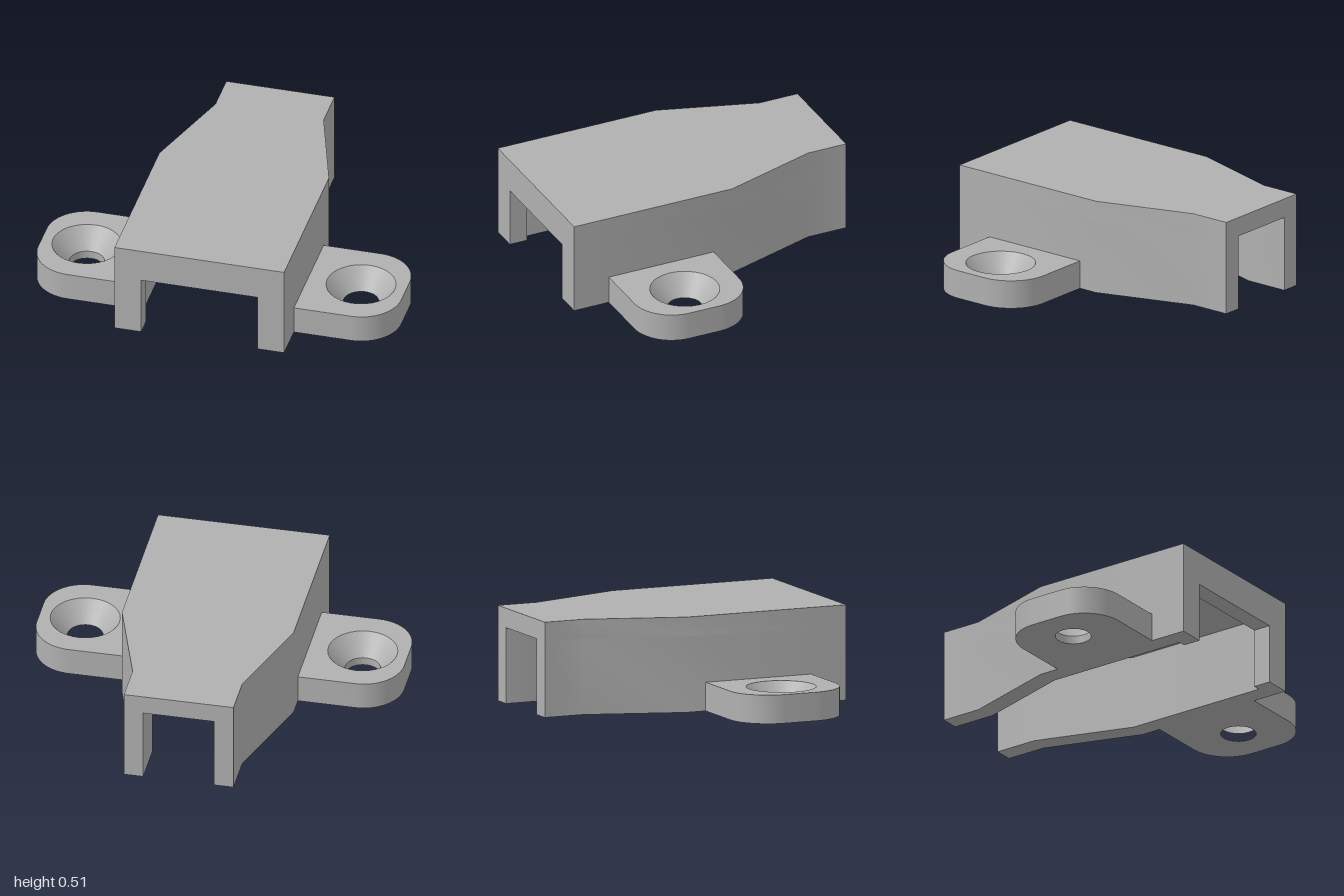
import * as THREE from 'three';
import { toCreasedNormals } from 'three/addons/utils/BufferGeometryUtils.js';

const grey = new THREE.MeshStandardMaterial({ color: 0xb0b0b0 });
grey.name = 'plain grey';

const HEIGHT = 0.515, CEILING = 0.41, LIP = 0.33;
const LUG_HEIGHT = 0.155, BORE_HEIGHT = 0.045, BORE = 0.095, SINK = 0.187;
const HOLE_X = 0.755, HOLE_Z = 0.33;

// Plan outline given as [x, z] pairs, optionally mirrored across x
const plan = (points, side = 1) =>
  new THREE.Shape(points.map(([x, z]) => new THREE.Vector2(x * side, -z)));

// Raise a plan shape from y0 to y1
function raise(name, shape, y0, y1) {
  const geometry = new THREE.ExtrudeGeometry(shape, {
    depth: y1 - y0, bevelEnabled: false, curveSegments: 16,
  });
  geometry.rotateX(-Math.PI / 2).translate(0, y0, 0);
  const mesh = new THREE.Mesh(toCreasedNormals(geometry, 0.5), grey);
  mesh.name = name;
  return mesh;
}

// Rounded lug outline with a round hole
function lugShape(side, holeRadius) {
  const inner = 0.466, back = 0.02, front = 0.64, r = 0.22;
  const points = [[inner, front], [inner, back]];
  const corner = (cz, start) => {
    for (let i = 0; i <= 16; i++) {
      const a = start + (i / 16) * Math.PI / 2;
      points.push([1 - r + r * Math.cos(a), cz + r * Math.sin(a)]);
    }
  };
  corner(back + r, -Math.PI / 2);
  corner(front - r, 0);
  const shape = plan(points, side);
  shape.holes.push(new THREE.Path().absarc(side * HOLE_X, -HOLE_Z, holeRadius, 0, Math.PI * 2, true));
  return shape;
}

export function createModel() {
  const model = new THREE.Group();
  model.name = 'cable clamp cover';

  // Outer half outline, front to back
  const outer = [[0.467, 0.845], [0.467, -0.09], [0.298, -0.62], [0.298, -0.845]];
  // Inner half outline, back to front, ending in the front lip
  const inner = [[0.193, -0.845], [0.193, -0.604], [0.362, -0.074],
    [0.362, 0.745], [0.32, 0.745], [0.32, 0.845]];

  // Flat roof
  const mirrored = outer.map(([x, z]) => [-x, z]).reverse();
  model.add(raise('roof', plan([...outer, ...mirrored]), CEILING, HEIGHT));

  // Lowered header over the front opening
  const header = plan([[0.32, 0.845], [0.32, 0.745], [-0.32, 0.745], [-0.32, 0.845]]);
  model.add(raise('frontHeader', header, LIP, CEILING));

  for (const side of [1, -1]) {
    const label = side > 0 ? 'left' : 'right';
    model.add(raise(label + 'Wall', plan([...outer, ...inner], side), 0, CEILING));

    // Mounting lug with a countersunk screw hole
    const lug = new THREE.Group();
    lug.name = label + 'Lug';
    lug.add(raise('lugBase', lugShape(side, BORE), 0, BORE_HEIGHT));
    lug.add(raise('lugTop', lugShape(side, SINK), BORE_HEIGHT, LUG_HEIGHT));
    const sink = new THREE.Mesh(new THREE.LatheGeometry([
      new THREE.Vector2(SINK, LUG_HEIGHT), new THREE.Vector2(BORE, BORE_HEIGHT),
    ], 32), grey);
    sink.name = 'countersink';
    sink.position.set(side * HOLE_X, 0, HOLE_Z);
    lug.add(sink);
    model.add(lug);
  }
  return model;
}
